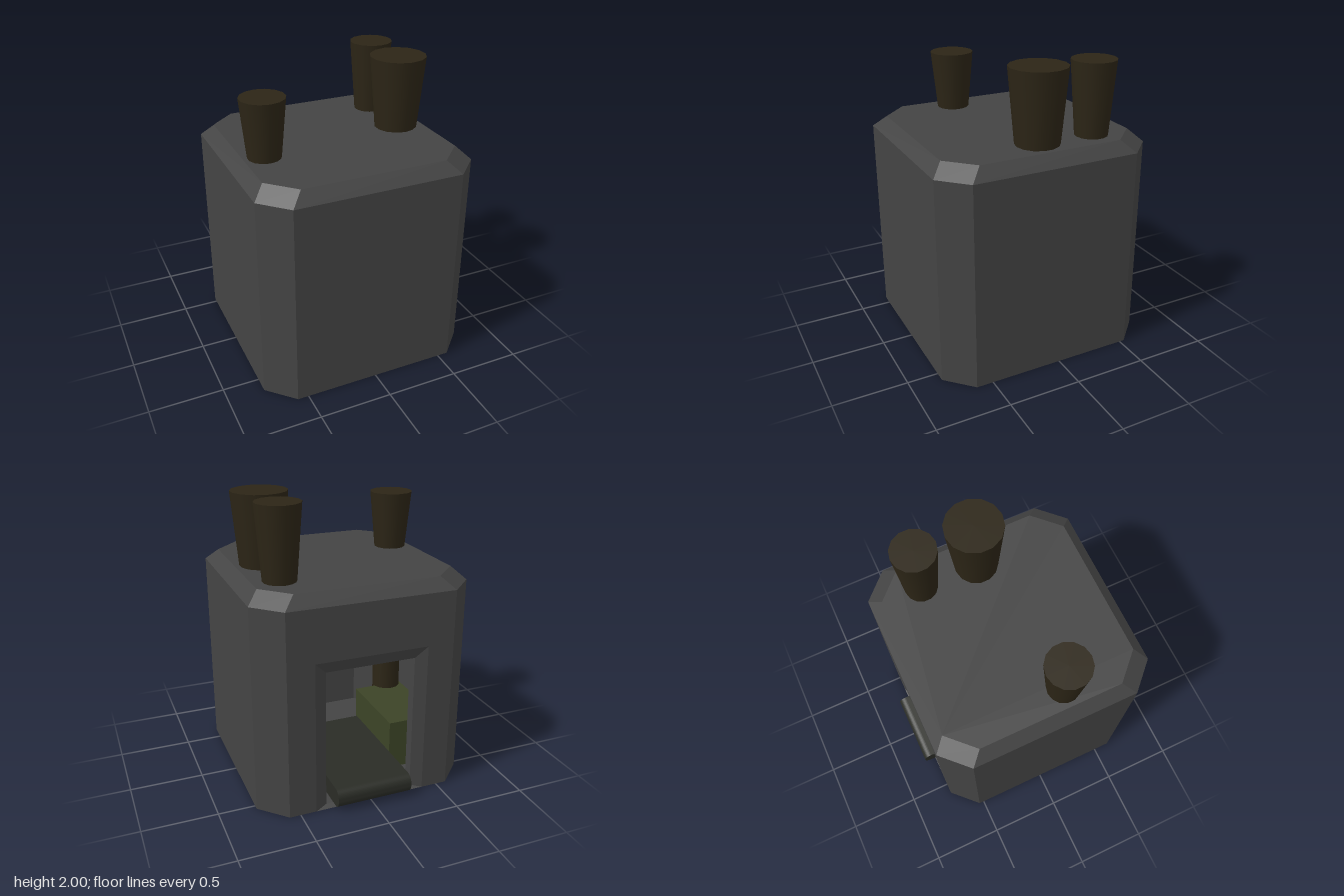
import * as THREE from 'three';

const mat = (color, extra = {}) => new THREE.MeshStandardMaterial({ color, ...extra });
const shellMat = mat(0x444444, { flatShading: true, side: THREE.DoubleSide });
const pinMat = mat(0x2c2516);
const plateMat = mat(0x2a2c26);
const blockMat = mat(0x3c4427);

const CUT = 0.175; // corner chamfer of the housing

// Octagonal outline; the closing segment is the back edge
function octagon(inset, y) {
  const x = 0.75 - inset, z0 = -0.71 + inset, z1 = 0.79 - inset;
  return [[-x + CUT, z0], [-x, z0 + CUT], [-x, z1 - CUT], [-x + CUT, z1],
    [x - CUT, z1], [x, z1 - CUT], [x, z0 + CUT], [x - CUT, z0]].map(([px, pz]) => [px, y, pz]);
}

// Upside-down U outline of the back opening
const arch = (x, y0, y1, z) => [[-x, y0, z], [-x, y1, z], [x, y1, z], [x, y0, z]];

// Quads between two outlines with the same number of points
function strip(out, a, b, closed = true) {
  const n = a.length;
  for (let i = 0; i < (closed ? n : n - 1); i++) {
    const j = (i + 1) % n;
    out.push(a[i], a[j], b[j], a[i], b[j], b[i]);
  }
}

function cap(out, loop) {
  for (let i = 1; i < loop.length - 1; i++) out.push(loop[0], loop[i], loop[i + 1]);
}

function housing() {
  const tris = [];
  const outer = [octagon(0, 0), octagon(0, 1.42), octagon(0.08, 1.5)];
  const inner = [octagon(0.1, 0.02), octagon(0.1, 1.33), octagon(0.17, 1.4)];

  // Outside walls, bevel, top and bottom
  strip(tris, outer[0], outer[1], false);
  strip(tris, outer[1], outer[2]);
  cap(tris, outer[2]);
  cap(tris, outer[0].slice().reverse());

  // Inside walls, ceiling and floor
  strip(tris, inner[1], inner[0], false);
  strip(tris, inner[2], inner[1]);
  cap(tris, inner[2].slice().reverse());
  cap(tris, inner[0]);

  // Back wall: outside face, bevelled rim, jamb, inside face
  const rings = [
    arch(0.75 - CUT, 0, 1.42, -0.71),
    arch(0.39, 0, 1.06, -0.71),
    arch(0.31, 0.02, 0.98, -0.68),
    arch(0.31, 0.02, 0.98, -0.61),
    arch(0.65 - CUT, 0.02, 1.33, -0.61),
  ];
  for (let i = 0; i < rings.length - 1; i++) strip(tris, rings[i], rings[i + 1], i === 1 || i === 2);

  const g = new THREE.BufferGeometry();
  g.setAttribute('position', new THREE.Float32BufferAttribute(tris.flat(), 3));
  g.computeVertexNormals();
  return g;
}

function add(parent, name, geometry, material, x = 0, y = 0, z = 0) {
  const m = new THREE.Mesh(geometry, material);
  m.name = name;
  m.position.set(x, y, z);
  parent.add(m);
  return m;
}

// Flared pin head above the housing with a straight stem running inside
function pin(name, x, z, top, rTop, rNeck, rStem) {
  const g = new THREE.Group();
  g.name = name;
  const neck = 1.48, foot = 0.32;
  add(g, 'pinHead', new THREE.CylinderGeometry(rTop, rNeck, top - neck, 14), pinMat, 0, (top + neck) / 2);
  add(g, 'pinStem', new THREE.CylinderGeometry(rStem, rStem, neck - foot, 14), pinMat, 0, (neck + foot) / 2);
  g.position.set(x, 0, z);
  return g;
}

// Plate profile (along z, up y) with a rounded outer lip
function plateGeometry(width) {
  const s = new THREE.Shape();
  const r = 0.055, z0 = -0.79, z1 = 0.14, y0 = 0.03, y1 = 0.16;
  s.moveTo(-z1, y0);
  s.lineTo(-z0 - r, y0);
  s.absarc(-z0 - r, y0 + r, r, -Math.PI / 2, 0, false);
  s.absarc(-z0 - r, y1 - r, r, 0, Math.PI / 2, false);
  s.lineTo(-z1, y1);
  s.closePath();
  const g = new THREE.ExtrudeGeometry(s, { depth: width, bevelEnabled: false, curveSegments: 5 });
  return g.translate(0, 0, -width / 2).rotateY(Math.PI / 2);
}

export function createModel() {
  const model = new THREE.Group();
  model.name = 'pinnedHousing';

  add(model, 'housing', housing(), shellMat);
  add(model, 'plate', plateGeometry(0.53), plateMat);

  // Blocks either side of the plate that carry the pins
  for (const [name, side] of [['leftBlock', 1], ['rightBlock', -1]]) {
    add(model, name, new THREE.BoxGeometry(0.37, 0.36, 0.6), blockMat, side * 0.455, 0.2, -0.13);
  }

  model.add(
    pin('largePin', 0.49, 0.05, 2, 0.192, 0.146, 0.13),
    pin('mediumPin', 0.49, -0.35, 2, 0.15, 0.11, 0.105),
    pin('smallPin', -0.53, 0.19, 1.9, 0.15, 0.11, 0.105),
  );
  return model;
}
